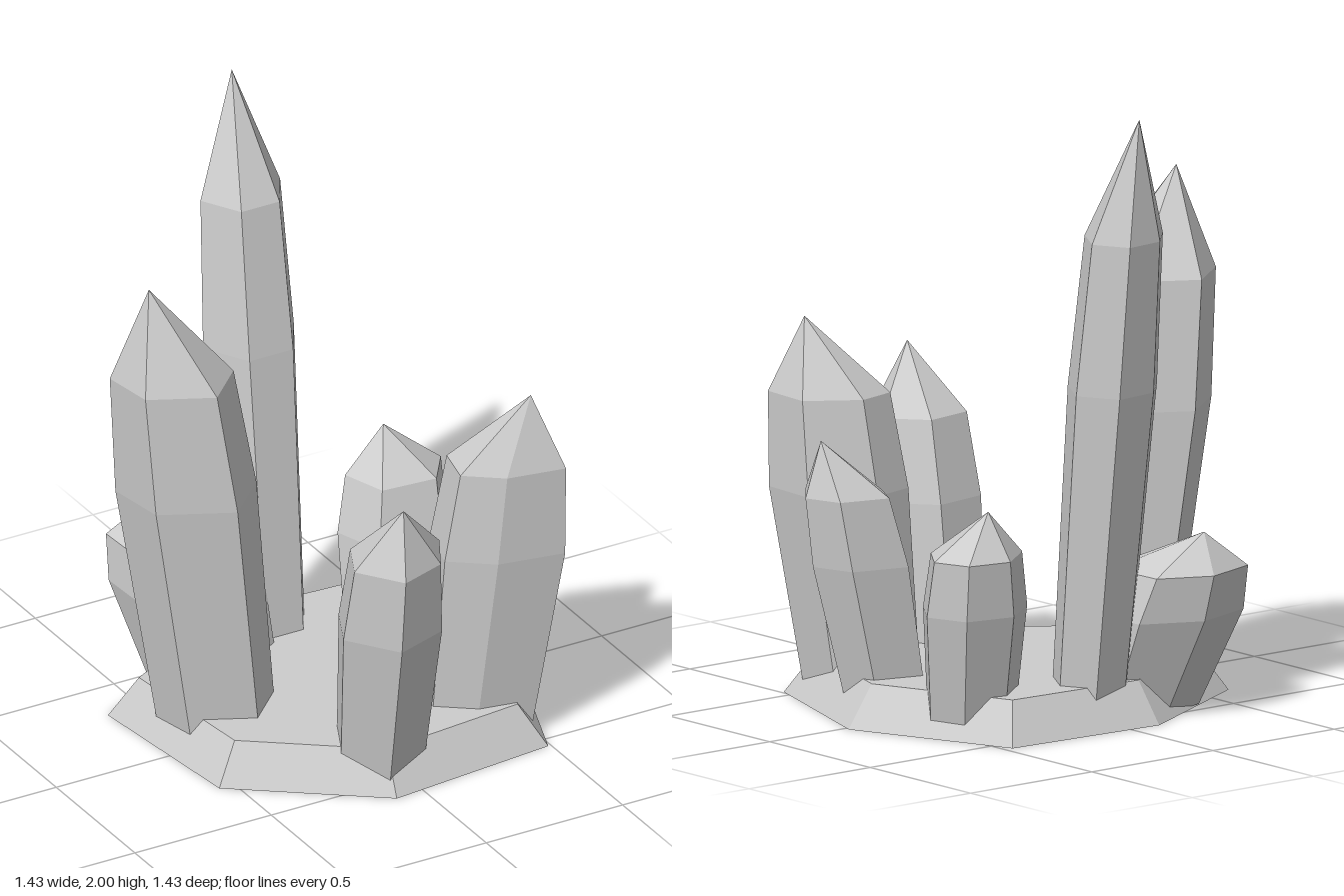
import * as THREE from 'three';

// Stacks horizontal rings of [x, y, z] points (angle growing from +x to +z) into a closed flat-faced solid
function loft(rings, apex) {
  const pos = [];
  const tri = (a, b, c) => pos.push(...a, ...b, ...c);
  const n = rings[0].length;
  const centre = (ring) => [0, 1, 2].map((k) => ring.reduce((s, p) => s + p[k], 0) / n);
  const bottom = centre(rings[0]);
  const last = rings[rings.length - 1];
  const top = apex || centre(last);
  for (let i = 0; i < n; i++) {
    const j = (i + 1) % n;
    for (let r = 0; r < rings.length - 1; r++) {
      const lo = rings[r], hi = rings[r + 1];
      tri(lo[i], hi[i], hi[j]);
      tri(lo[i], hi[j], lo[j]);
    }
    tri(bottom, rings[0][i], rings[0][j]);
    tri(last[i], top, last[j]);
  }
  const g = new THREE.BufferGeometry();
  g.setAttribute('position', new THREE.Float32BufferAttribute(pos, 3));
  g.computeVertexNormals();
  return g;
}

// Six-sided crystal: foot centre, tip and the [x, z] outline of its shoulder
function crystalGeometry({ foot, tip, outline }) {
  const n = outline.length;
  const cx = outline.reduce((s, p) => s + p[0], 0) / n;
  const cz = outline.reduce((s, p) => s + p[1], 0) / n;
  // [height fraction of the tip, widening relative to the shoulder]
  const levels = [[0.01, 0.95], [0.55, 1.14], [0.8, 1]];
  const rings = levels.map(([h, scale]) => {
    const t = h / 0.8;
    const mx = foot[0] + (cx - foot[0]) * t;
    const mz = foot[1] + (cz - foot[1]) * t;
    return outline.map(([x, z]) => [mx + (x - cx) * scale, h * tip[1], mz + (z - cz) * scale]);
  });
  return loft(rings, tip);
}

const crystals = [
  { name: 'backTallCrystal', foot: [0.015, -0.4], tip: [0.03, 2, -0.67],
    outline: [[-0.125, -0.6], [-0.03, -0.7], [0.105, -0.715], [0.167, -0.6], [0.09, -0.47], [-0.05, -0.47]] },
  { name: 'rightTallCrystal', foot: [-0.365, -0.06], tip: [-0.62, 1.665, -0.07],
    outline: [[-0.717, -0.15], [-0.555, -0.275], [-0.37, -0.17], [-0.35, 0], [-0.485, 0.13], [-0.69, 0.03]] },
  { name: 'backStubCrystal', foot: [-0.21, -0.34], tip: [-0.32, 0.595, -0.57],
    outline: [[-0.46, -0.62], [-0.27, -0.68], [-0.1, -0.6], [-0.09, -0.39], [-0.22, -0.31], [-0.45, -0.42]] },
  { name: 'backLeftCrystal', foot: [0.4, -0.27], tip: [0.43, 0.735, -0.4],
    outline: [[0.29, -0.4], [0.425, -0.505], [0.57, -0.475], [0.615, -0.355], [0.53, -0.235], [0.34, -0.25]] },
  { name: 'leftCrystal', foot: [0.43, 0.11], tip: [0.66, 0.905, 0.155],
    outline: [[0.51, -0.005], [0.675, 0.04], [0.715, 0.165], [0.625, 0.275], [0.49, 0.25], [0.45, 0.1]] },
  { name: 'frontLeftCrystal', foot: [0.33, 0.31], tip: [0.475, 1.235, 0.46],
    outline: [[0.27, 0.28], [0.41, 0.245], [0.57, 0.355], [0.555, 0.545], [0.36, 0.51], [0.24, 0.42]] },
  { name: 'frontCrystal', foot: [-0.04, 0.4], tip: [-0.09, 1.05, 0.63],
    outline: [[-0.235, 0.57], [-0.17, 0.43], [0, 0.4], [0.105, 0.52], [0.03, 0.66], [-0.13, 0.715]] },
];

export function createModel() {
  const model = new THREE.Group();
  model.name = 'crystalCluster';
  const stone = new THREE.MeshStandardMaterial({ color: 0xcccccc });
  stone.name = 'paleStone';
  stone.flatShading = true;

  const add = (name, geometry) => {
    const mesh = new THREE.Mesh(geometry, stone);
    mesh.name = name;
    model.add(mesh);
  };

  // Uneven seven-sided rock base with sloping sides
  const rim = [[0.69, -0.02], [0.49, 0.545], [-0.1, 0.605], [-0.555, 0.265], [-0.62, -0.33], [-0.11, -0.6], [0.47, -0.57]];
  add('rockBase', loft([[0, 1], [0.135, 0.86]].map(([y, s]) => rim.map(([x, z]) => [x * s, y, z * s]))));

  // Crystals leaning outwards around the base
  for (const c of crystals) add(c.name, crystalGeometry(c));
  return model;
}
